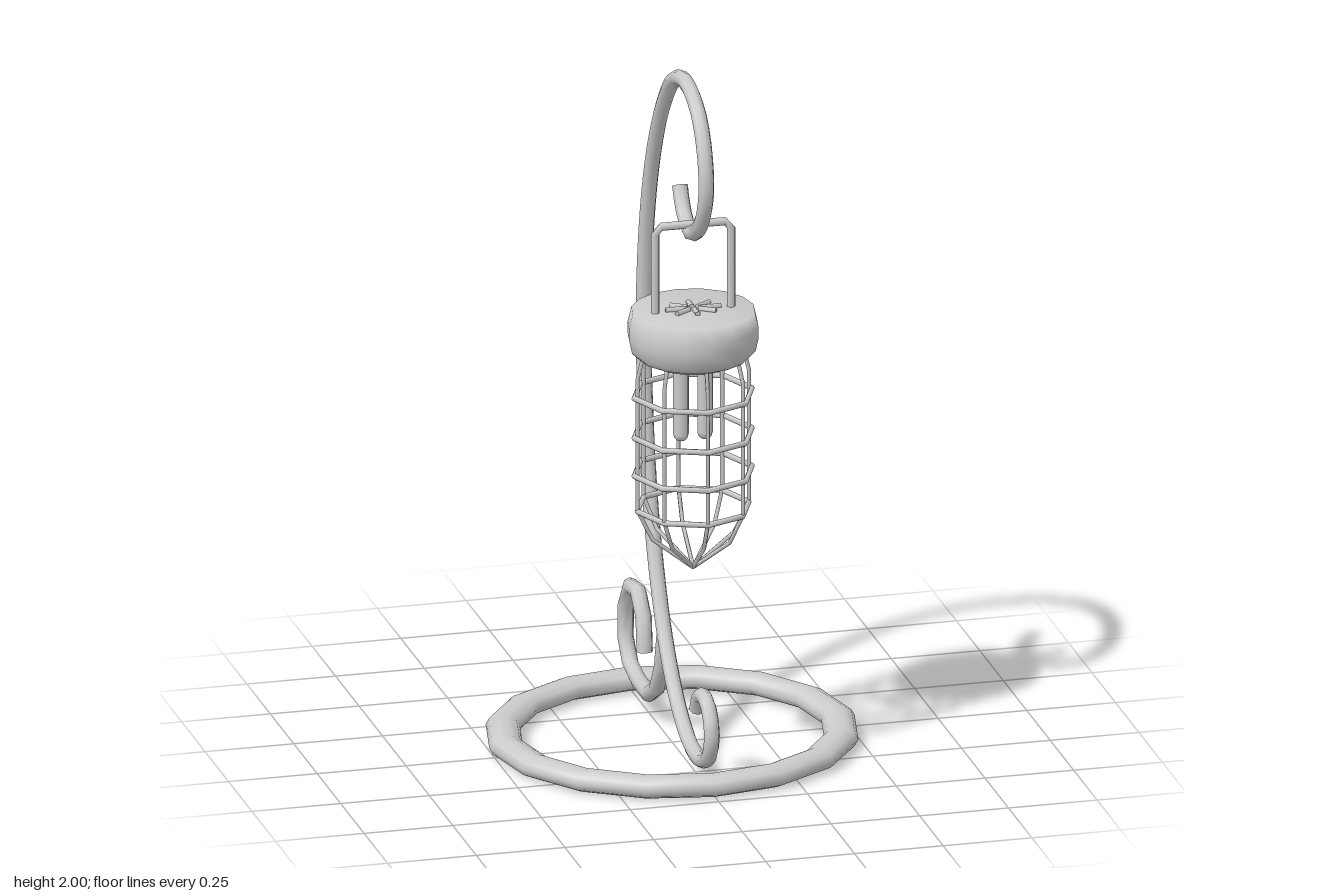
import * as THREE from 'three';

const material = new THREE.MeshStandardMaterial({ color: 0xcccccc });
const V = (x, y, z) => new THREE.Vector3(x, y, z);

// Straight-sided path whose tube has one mitred ring per point
class Polyline extends THREE.Curve {
  constructor(points) { super(); this.points = points; }
  getPoint(t) {
    const n = this.points.length - 1;
    const i = Math.min(Math.floor(t * n + 1e-9), n - 1);
    return this.points[i].clone().lerp(this.points[i + 1], t * n - i);
  }
  getPointAt(u) { return this.getPoint(u); }
  getTangentAt(u) { return this.getTangent(u); }
}

function add(parent, name, geometry, x = 0, y = 0, z = 0) {
  const mesh = new THREE.Mesh(geometry, material);
  mesh.name = name;
  mesh.position.set(x, y, z);
  parent.add(mesh);
  return mesh;
}

// Round bar along points, with flat end caps
function bar(parent, name, points, radius, sides) {
  const path = new Polyline(points), group = new THREE.Group();
  group.name = name;
  add(group, name + 'Bar', new THREE.TubeGeometry(path, points.length - 1, radius, sides));
  for (const end of [0, 1]) {
    const p = path.getPoint(end);
    const out = path.getTangent(end).multiplyScalar(end ? 1 : -1);
    const cap = add(group, name + 'End', new THREE.CircleGeometry(radius, sides), p.x, p.y, p.z);
    cap.quaternion.setFromUnitVectors(V(0, 0, 1), out);
  }
  parent.add(group);
}

// Smooth path in the side plane from [z, y] pairs
const sidePath = (pairs, segments) => new THREE.CatmullRomCurve3(
  pairs.map(([z, y]) => V(-0.012, y, z))).getSpacedPoints(segments);

export function createModel() {
  const model = new THREE.Group();
  model.name = 'hangingLantern';

  // Flattened base ring
  const ring = new THREE.TorusGeometry(0.4675, 0.0475, 10, 16);
  ring.rotateX(Math.PI / 2).scale(1, 0.66, 0.952);
  add(model, 'baseRing', ring, 0, 0.032, 0);

  // Stand: hook, long bow and front scroll in one sweep
  bar(model, 'standHook', sidePath([
    [0.13, 1.66], [0.167, 1.6], [0.245, 1.563], [0.352, 1.622], [0.41, 1.73], [0.394, 1.841],
    [0.33, 1.932], [0.2, 1.98], [0.077, 1.95], [-0.045, 1.836], [-0.15, 1.66], [-0.22, 1.45],
    [-0.257, 1.185], [-0.246, 0.947], [-0.198, 0.683], [-0.124, 0.47], [-0.02, 0.286],
    [0.114, 0.148], [0.246, 0.08], [0.35, 0.074], [0.437, 0.111], [0.472, 0.18],
    [0.447, 0.243], [0.389, 0.268], [0.335, 0.25], [0.31, 0.206]], 90), 0.022, 8);

  // Coarser rear scroll
  bar(model, 'rearScroll', [
    [-0.035, 0.3], [-0.06, 0.206], [-0.114, 0.122], [-0.198, 0.074], [-0.31, 0.074],
    [-0.4, 0.095], [-0.45, 0.153], [-0.447, 0.249], [-0.395, 0.32], [-0.315, 0.33],
    [-0.257, 0.275], [-0.246, 0.18]].map(([z, y]) => V(-0.012, y, z)), 0.023, 8);

  const lantern = new THREE.Group();
  lantern.name = 'lantern';
  lantern.position.set(-0.004, 0, 0.24);
  model.add(lantern);

  // Cap with a sunken underside and a short inner collar
  const profile = [[0, 1.235], [0.095, 1.235], [0.095, 1.187], [0.112, 1.187], [0.112, 1.205],
    [0.152, 1.205], [0.172, 1.225], [0.18, 1.262], [0.18, 1.295], [0.17, 1.338], [0, 1.338]];
  const cap = new THREE.LatheGeometry(profile.map(([r, y]) => new THREE.Vector2(r, y)), 16);
  add(lantern, 'cap', cap);

  // Handle with chamfered corners
  bar(lantern, 'handle', [[-0.107, 1.33], [-0.107, 1.565], [-0.09, 1.585], [0.09, 1.585],
    [0.107, 1.565], [0.107, 1.33]].map(([x, y]) => V(x, y, 0)), 0.012, 8);

  // Bulbs
  for (const side of [-1, 1]) {
    const bulb = new THREE.CapsuleGeometry(0.022, 0.236, 3, 8);
    add(lantern, 'bulb', bulb, side * 0.034, 1.1, 0);
  }

  // Cage wires meeting at the tip, and small spokes on the cap
  for (let i = 0; i < 8; i++) {
    const a = i * Math.PI / 4, c = Math.cos(a), s = Math.sin(a);
    bar(lantern, 'cageWire', [[0.142, 1.21], [0.157, 1.15], [0.157, 0.77], [0.115, 0.683],
      [0, 0.592]].map(([r, y]) => V(r * c, y, r * s)), 0.006, 5);
    bar(lantern, 'capSpoke', [V(0.02 * c, 1.342, 0.012 * s), V(0.078 * c, 1.342, 0.052 * s)], 0.008, 5);
  }

  // Octagonal cage rings
  for (const [y, r] of [[1.095, 0.166], [0.98, 0.166], [0.87, 0.166], [0.767, 0.157]]) {
    const cageRing = new THREE.TorusGeometry(r, 0.008, 6, 8);
    add(lantern, 'cageRing', cageRing.rotateX(Math.PI / 2), 0, y, 0);
  }
  return model;
}
